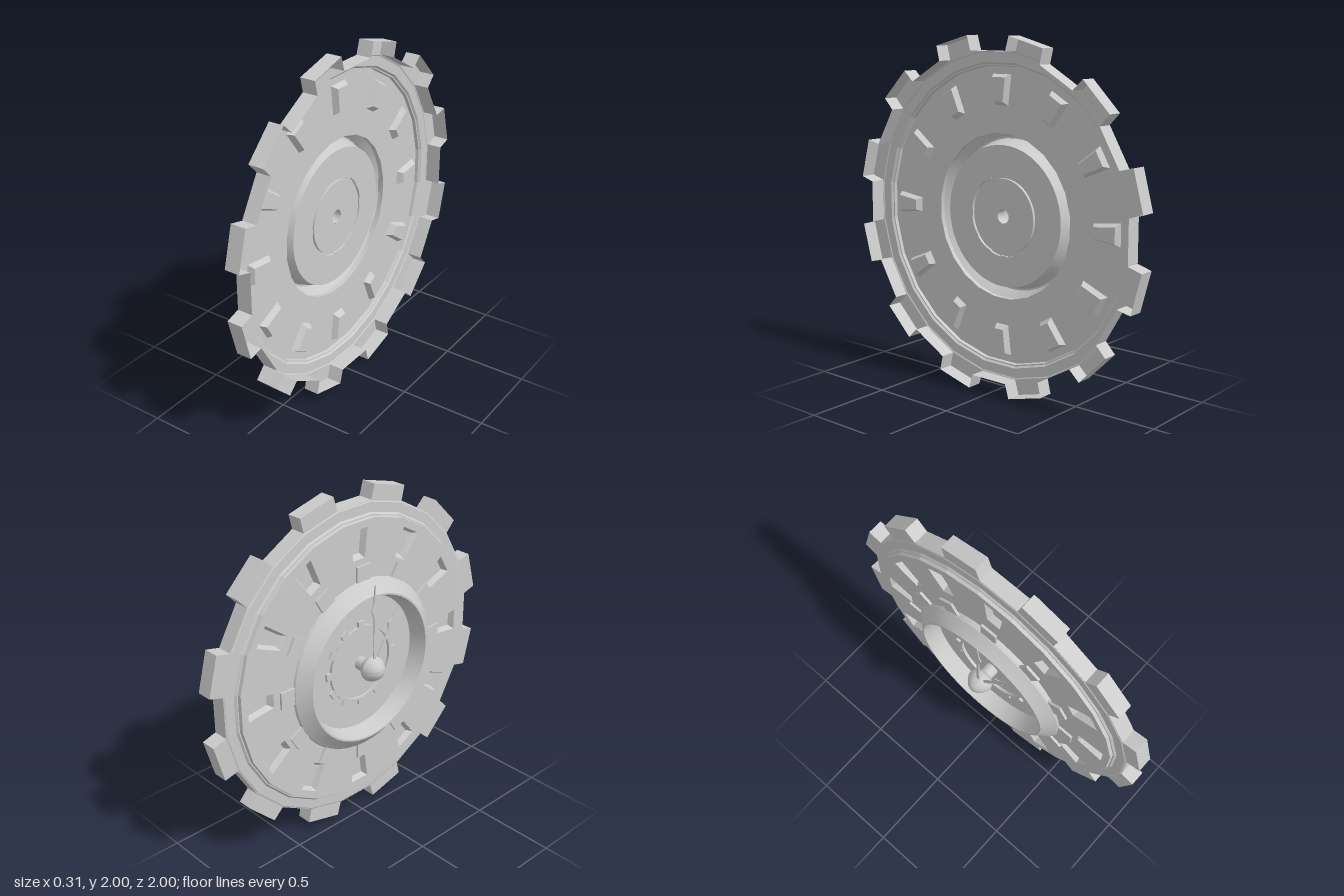
import * as THREE from 'three';
import { toCreasedNormals } from 'three/addons/utils/BufferGeometryUtils.js';

const grey = new THREE.MeshStandardMaterial({ color: 0xcccccc, side: THREE.DoubleSide });
const flat = new THREE.MeshStandardMaterial({ color: 0xcccccc, side: THREE.DoubleSide, flatShading: true });
const STEP = Math.PI / 6; // twelve-fold symmetry

// Local frame: the dial lies in XY and faces +z.
function add(parent, name, geometry, material = flat) {
  const mesh = new THREE.Mesh(geometry, material);
  mesh.name = name;
  parent.add(mesh);
  return mesh;
}

const v2 = (x, y) => new THREE.Vector2(x, y);

// Regular 24-sided loop with a flat side at the top
function ngon(r) {
  return Array.from({ length: 24 }, (_, i) => {
    const a = (i + 0.5) * Math.PI / 12;
    return v2(r * Math.cos(a), r * Math.sin(a));
  });
}

// Flat sheet with holes at depth z
function sheet(outline, holes, z) {
  const shape = new THREE.Shape(outline);
  holes.forEach(h => shape.holes.push(new THREE.Path(h)));
  return new THREE.ShapeGeometry(shape).translate(0, 0, z);
}

// Wall joining two matching loops
function wall(a, za, b, zb) {
  const pos = [];
  a.forEach((p, i) => {
    const j = (i + 1) % a.length;
    const A = [p.x, p.y, za], B = [a[j].x, a[j].y, za];
    const C = [b[j].x, b[j].y, zb], D = [b[i].x, b[i].y, zb];
    pos.push(...A, ...D, ...C, ...A, ...C, ...B);
  });
  const g = new THREE.BufferGeometry();
  g.setAttribute('position', new THREE.Float32BufferAttribute(pos, 3));
  g.computeVertexNormals();
  return g;
}

// Profile of [radius, z] pairs turned about the z axis
function turned(profile, segments = 24) {
  const g = new THREE.LatheGeometry(profile.map(p => v2(...p)), segments, Math.PI / 24);
  return toCreasedNormals(g.rotateX(Math.PI / 2), 0.45);
}

// Trapezoid on the spoke at the given angle
function trapezoid(r0, w0, r1, w1, angle) {
  return [v2(-w0, r0), v2(w0, r0), v2(w1, r1), v2(-w1, r1)]
    .map(p => p.rotateAround(v2(0, 0), angle));
}

// Gear outline: 24-gon with a square tooth on every other side
function gearOutline() {
  const pts = [];
  for (let i = 0; i < 12; i++) {
    const a = (i + 0.5) * STEP;
    for (const [x, y] of [[0.1195, 0.917], [0.117, 1.003], [-0.117, 1.003], [-0.1195, 0.917]]) {
      pts.push(v2(x, y).rotateAround(v2(0, 0), a));
    }
  }
  return pts;
}

// Flat pointed hand with an ornamental swelling
function hand(length, width) {
  const half = [[0.3, 0], [0.3, 0.62], [1, 0.72], [0.35, 0.8], [0.25, 0.88]];
  const right = half.map(([x, y]) => v2(x * width, y * length));
  const left = half.map(([x, y]) => v2(-x * width, y * length)).reverse();
  const shape = new THREE.Shape([...right, v2(0, length), ...left]);
  return new THREE.ExtrudeGeometry(shape, { depth: 0.007, bevelEnabled: false });
}

export function createModel() {
  const model = new THREE.Group();
  model.name = 'gearClock';
  const dial = new THREE.Group();
  dial.name = 'clock';
  dial.rotation.y = -Math.PI / 2;
  dial.position.y = 1;
  model.add(dial);

  // Toothed rim, a shell left open at the rear
  const gear = gearOutline();
  add(dial, 'rimWall', wall(gear, -0.06, gear, -0.15));
  add(dial, 'rimFloor', sheet(gear, [ngon(0.922)], -0.06));
  add(dial, 'rimStep', turned([
    [0.922, -0.06], [0.915, -0.056], [0.86, -0.055], [0.85, -0.045], [0.843, -0.045], [0.839, -0.026],
  ]));

  // Main plate with twelve pressed pockets
  const slots = [];
  const pockets = new THREE.Group();
  pockets.name = 'pockets';
  dial.add(pockets);
  for (let i = 0; i < 12; i++) {
    const mouth = trapezoid(0.62, 0.042, 0.79, 0.063, i * STEP);
    const base = trapezoid(0.642, 0.03, 0.775, 0.045, i * STEP);
    slots.push(mouth);
    add(pockets, 'pocketWall', wall(mouth, -0.026, base, -0.06));
    add(pockets, 'pocketFloor', sheet(base, [], -0.06));
  }
  add(dial, 'plate', sheet(ngon(0.839), [ngon(0.47), ...slots], -0.026));

  // Bezel: neck, flared collar, inner wall
  add(dial, 'bezel', turned([
    [0.47, -0.026], [0.47, 0.004], [0.515, 0.008], [0.51, 0.02], [0.445, 0.074],
    [0.44, 0.08], [0.43, 0.08], [0.4, -0.02],
  ], 48), grey);

  // Dial face with a raised ring
  add(dial, 'face', turned([
    [0.402, -0.02], [0.23, -0.02], [0.23, -0.004], [0.215, -0.004], [0.215, -0.02], [0.04, -0.02],
  ], 48), grey);

  // Hour tabs outside the bezel and small marks around the ring
  for (let i = 0; i < 12; i++) {
    const spoke = new THREE.Group();
    spoke.name = 'hourMark';
    spoke.rotation.z = i * STEP;
    dial.add(spoke);
    add(spoke, 'hourTab', new THREE.BoxGeometry(0.1, 0.12, 0.014).translate(0, 0.54, 0.009));
    add(spoke, 'ringTab', new THREE.BoxGeometry(0.045, 0.035, 0.014).translate(0, 0.243, -0.012));
  }

  // Hub on a hollow shaft
  add(dial, 'hub', turned([
    [0.04, -0.02], [0.04, 0.035], [0.058, 0.045], [0.07, 0.06], [0.075, 0.078], [0.07, 0.1],
    [0.055, 0.125], [0.035, 0.145], [0.018, 0.153], [0, 0.155],
  ], 32), grey);

  // Hands
  add(dial, 'minuteHand', hand(0.51, 0.026)).position.z = 0.094;
  const hour = add(dial, 'hourHand', hand(0.38, 0.03));
  hour.position.z = 0.084;
  hour.rotation.z = -STEP;

  return model;
}
